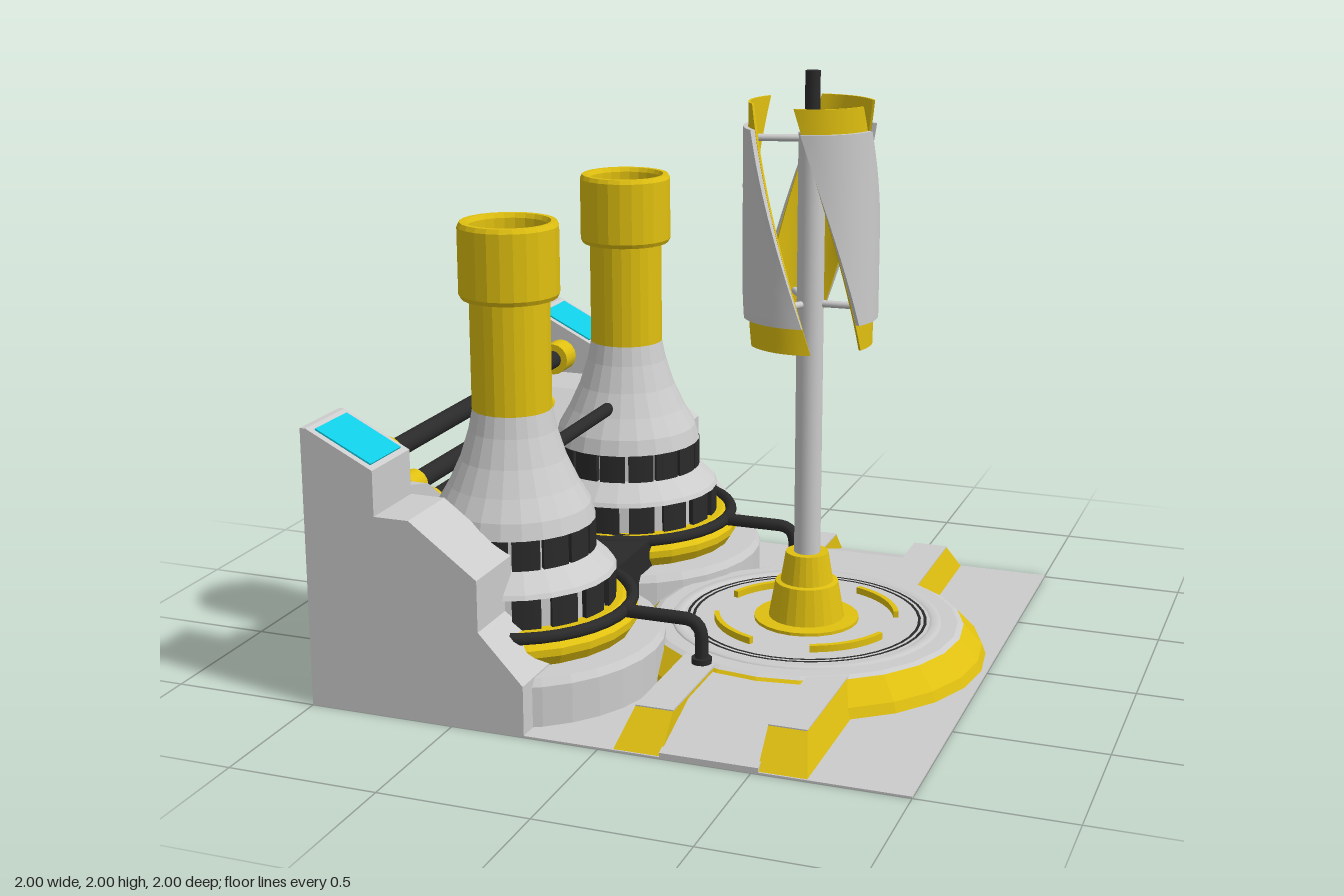
import * as THREE from 'three';

const mat = (color, flat = false) => new THREE.MeshStandardMaterial({ color, flatShading: flat, side: THREE.DoubleSide });
const GREY = mat(0xcccccc), GREY_FLAT = mat(0xcccccc, true);
const YELLOW = mat(0xe0c010), YELLOW_FLAT = mat(0xe0c010, true);
const BLACK = mat(0x2a2a2a), CYAN = mat(0x10cce4);

function add(parent, name, geometry, material, x = 0, y = 0, z = 0) {
  const mesh = new THREE.Mesh(geometry, material);
  mesh.name = name;
  mesh.position.set(x, y, z);
  parent.add(mesh);
  return mesh;
}
const vecs = pts => pts.map(p => new THREE.Vector2(...p));
const lathe = (pts, sides = 24) => new THREE.LatheGeometry(vecs(pts), sides);
const box = (w, h, d) => new THREE.BoxGeometry(w, h, d);
const prism = (pts, depth) => new THREE.ExtrudeGeometry(new THREE.Shape(vecs(pts)), { depth, bevelEnabled: false });

// Round bar along z
const barZ = (r, length) => new THREE.CylinderGeometry(r, r, length, 16).rotateX(Math.PI / 2);

// Flat ring sector lying on the ground, between two radii and two angles
function arcBlock(r0, r1, a0, a1, height) {
  const s = new THREE.Shape();
  s.absarc(0, 0, r1, a0, a1, false);
  s.absarc(0, 0, r0, a1, a0, true);
  return new THREE.ExtrudeGeometry(s, { depth: height, bevelEnabled: false, curveSegments: 6 }).rotateX(-Math.PI / 2);
}

// Curved, twisted blade: a box bent around the mast
function bladeGeometry(radius, thick, y0, y1) {
  const g = new THREE.BoxGeometry(1, 1, 1, 8, 16, 1), p = g.attributes.position;
  for (let i = 0; i < p.count; i++) {
    const y = THREE.MathUtils.lerp(y0, y1, p.getY(i) + 0.5);
    const a = THREE.MathUtils.degToRad(-24 - 87 * (y - 1.19) + 68 * p.getX(i));
    const r = radius + thick * p.getZ(i);
    p.setXYZ(i, r * Math.sin(a), y, r * Math.cos(a));
  }
  g.computeVertexNormals();
  return g;
}

function createTower() {
  const g = new THREE.Group();
  g.name = 'tower';
  add(g, 'towerPlatform', lathe([[0.5, 0], [0.5, 0.14], [0.485, 0.165], [0, 0.165]], 32), GREY_FLAT);
  add(g, 'yellowFoot', lathe([[0.385, 0.16], [0.41, 0.2], [0.41, 0.225], [0.36, 0.27], [0.3, 0.27]]), YELLOW_FLAT);
  add(g, 'ringPipe', new THREE.TorusGeometry(0.39, 0.021, 8, 40).rotateX(Math.PI / 2), BLACK, 0, 0.262, 0);
  add(g, 'towerBody', lathe([[0.318, 0.24], [0.318, 0.37], [0.338, 0.37], [0.33, 0.385], [0.265, 0.445], [0.25, 0.445],
    [0.25, 0.545], [0.27, 0.545], [0.255, 0.6], [0.215, 0.67], [0.176, 0.755], [0.146, 0.85], [0.132, 0.92]]), GREY_FLAT);
  // Two bands of dark blocks
  for (const [r, y, n, fill] of [[0.335, 0.27, 16, 0.72], [0.27, 0.445, 16, 0.88]]) {
    for (let i = 0; i < n; i++) {
      const step = Math.PI * 2 / n;
      add(g, 'bandBlock', arcBlock(r - 0.03, r, i * step, (i + fill) * step, 0.1), BLACK, 0, y, 0);
    }
  }
  add(g, 'chimney', lathe([[0.132, 0.92], [0.132, 1.31]]), YELLOW_FLAT);
  add(g, 'chimneyCap', lathe([[0.13, 1.29], [0.157, 1.29], [0.165, 1.305], [0.165, 1.525], [0.157, 1.54],
    [0.14, 1.54], [0.132, 1.525], [0.13, 1.46]]), YELLOW_FLAT);
  add(g, 'glowBowl', lathe([[0.13, 1.48], [0.115, 1.45], [0.08, 1.425], [0.04, 1.413], [0, 1.41]]), CYAN);
  // Feed pipe bending down to the pad
  const path = new THREE.CurvePath();
  const v = (x, y) => new THREE.Vector3(x, y, 0);
  path.add(new THREE.LineCurve3(v(0.38, 0.262), v(0.6, 0.262)));
  path.add(new THREE.QuadraticBezierCurve3(v(0.6, 0.262), v(0.66, 0.262), v(0.66, 0.2)));
  path.add(new THREE.LineCurve3(v(0.66, 0.2), v(0.66, 0.1)));
  add(g, 'feedPipe', new THREE.TubeGeometry(path, 24, 0.022, 10), BLACK);
  add(g, 'pipeFoot', new THREE.CylinderGeometry(0.034, 0.034, 0.02, 12), BLACK, 0.66, 0.125, 0);
  return g;
}

function createPad() {
  const g = new THREE.Group();
  g.name = 'turbinePad';
  add(g, 'padSkirt', lathe([[0.62, 0], [0.605, 0.04], [0.54, 0.11]]), YELLOW_FLAT);
  add(g, 'padTop', lathe([[0.54, 0.11], [0.52, 0.117], [0, 0.117]]), GREY_FLAT);
  add(g, 'padRing', lathe([[0.465, 0.116], [0.46, 0.124], [0.435, 0.124], [0.425, 0.119]], 40), GREY);
  for (const r of [0.39, 0.41])
    add(g, 'darkRing', new THREE.RingGeometry(r - 0.006, r + 0.004, 40).rotateX(-Math.PI / 2), BLACK, 0, 0.121, 0);
  for (let i = 0; i < 4; i++) {
    const a = Math.PI / 4 + i * Math.PI / 2;
    add(g, 'padMark', arcBlock(0.3, 0.318, a - 0.45, a + 0.45, 0.025), YELLOW, 0, 0.115, 0);
  }
  // Raised track running front to back: sloping centre channel and two rails
  const channel = prism([[-1, 0], [-1, 0.02], [-0.75, 0.1], [0.75, 0.1], [1, 0.02], [1, 0]], 0.32);
  add(g, 'channel', channel.rotateY(-Math.PI / 2), GREY, 0.16, 0, 0);
  for (const s of [-1, 1]) {
    const rail = box(0.16, 0.112, 2), p = rail.attributes.position;
    for (let i = 0; i < p.count; i++) {
      if (p.getY(i) < 0) continue;
      p.setZ(i, p.getZ(i) * 0.89);
      if (p.getX(i) * s > 0) p.setX(i, s * 0.045);
    }
    add(g, 'rail', rail, YELLOW_FLAT, s * 0.235, 0.056, 0);
    add(g, 'railTop', box(0.125, 0.006, 1.78), GREY, s * 0.2175, 0.113, 0);
  }
  return g;
}

function createTurbine() {
  const g = new THREE.Group();
  g.name = 'windTurbine';
  add(g, 'mastFoot', lathe([[0.18, 0.115], [0.18, 0.128], [0.13, 0.13], [0.108, 0.255], [0.09, 0.258], [0.073, 0.36], [0, 0.36]]), YELLOW_FLAT);
  add(g, 'mast', new THREE.CylinderGeometry(0.045, 0.045, 1.5, 20), GREY, 0, 1.05, 0);
  add(g, 'mastTip', new THREE.CylinderGeometry(0.025, 0.025, 0.21, 16), BLACK, 0, 1.895, 0);
  for (let i = 0; i < 3; i++) {
    const blade = new THREE.Group();
    blade.name = 'blade';
    blade.rotation.y = i * Math.PI * 2 / 3;
    add(blade, 'bladeLiner', bladeGeometry(0.205, 0.008, 1.1, 1.9), YELLOW);
    add(blade, 'bladeShell', bladeGeometry(0.218, 0.016, 1.19, 1.82), GREY);
    for (const y of [1.23, 1.78]) {
      const spoke = add(blade, 'spoke', barZ(0.012, 0.2).translate(0, 0, 0.1), GREY, 0, y, 0);
      spoke.rotation.y = THREE.MathUtils.degToRad(-24 - 87 * (y - 1.19));
    }
    g.add(blade);
  }
  return g;
}

function createWalls() {
  const g = new THREE.Group();
  g.name = 'walls';
  const side = [[-1, 0], [-1, 0.935], [-0.98, 0.935], [-0.75, 0.82], [-0.75, 0.67], [-0.63, 0.67],
    [-0.4, 0.5], [-0.4, 0.33], [-0.25, 0.17], [-0.25, 0]];
  const back = [[0.75, 0], [0.75, 0.7], [0.63, 0.67], [0.4, 0.5], [0.15, 0.27], [0.15, 0]];
  for (const s of [-1, 1]) {
    add(g, 'sideWall', prism(side, 0.25), GREY, 0, 0, s > 0 ? 0.75 : -1);
    add(g, 'backWall', prism(back.map(([z, y]) => [s * z, y]), 0.25).rotateY(-Math.PI / 2), GREY, -0.75, 0, 0);
    const screen = add(g, 'screen', box(0.215, 0.01, 0.2), CYAN, -0.865, 0.878, s * 0.875);
    screen.rotation.z = -Math.atan2(0.115, 0.23);
  }
  // Cross bars with yellow sockets
  for (const [y, z, r] of [[0.77, 0.71, 0.06], [0.615, 0.53, 0.05], [0.515, 0.41, 0.05]]) {
    add(g, 'crossBar', barZ(0.034, z * 2), BLACK, -0.875, y, 0);
    for (const s of [-1, 1]) add(g, 'barSocket', barZ(r, 0.09), YELLOW, -0.875, y, s * z);
  }
  // Dark deck between the towers and slats in the rear gap
  add(g, 'deck', box(0.47, 0.27, 0.38), BLACK, -0.515, 0.135, 0);
  for (let i = 0; i < 4; i++) add(g, 'slat', box(0.03, 0.025, 0.3), BLACK, -0.95 + i * 0.052, 0.25, 0);
  return g;
}

export function createModel() {
  const model = new THREE.Group();
  model.name = 'powerStation';
  add(model, 'ground', box(2, 0.006, 2), GREY, 0, 0.003, 0);
  model.add(createWalls());
  for (const s of [-1, 1]) {
    const tower = createTower();
    tower.position.set(-0.5, 0, s * 0.5);
    model.add(tower);
  }
  add(model, 'towerLink', barZ(0.024, 0.64), BLACK, -0.5, 0.7, 0);
  for (const part of [createPad(), createTurbine()]) {
    part.position.x = 0.363;
    model.add(part);
  }
  return model;
}
